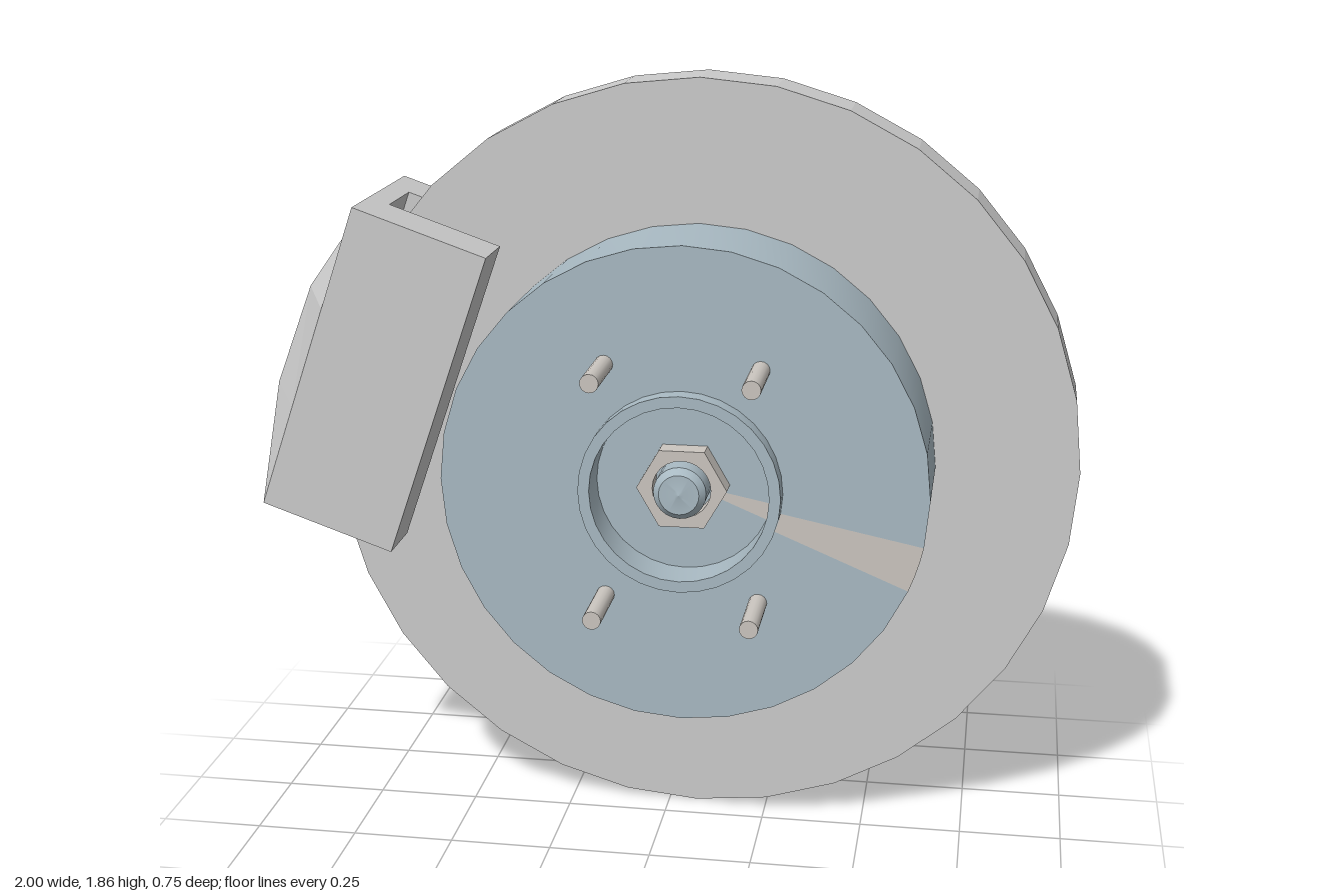
import * as THREE from 'three';
import { toCreasedNormals } from 'three/addons/utils/BufferGeometryUtils.js';

const CX = 0.07, CY = 0.932;

const material = (color, flatShading = false) => new THREE.MeshStandardMaterial({ color, flatShading });

function addPart(group, name, geometry, mat) {
  const mesh = new THREE.Mesh(geometry, mat);
  mesh.name = name;
  group.add(mesh);
  return mesh;
}

// Turned part: profile of [radius, z] pairs around the wheel axis
function turned(profile, segments) {
  const points = profile.map(([r, z]) => new THREE.Vector2(r, z));
  const geometry = new THREE.LatheGeometry(points, segments).rotateX(Math.PI / 2);
  return toCreasedNormals(geometry, 0.6);
}

// Rounded outer face of the caliper: flat edges front and back, arched in the middle
function caliperBackGeometry(top, bottom) {
  const arch = [[top.x, top.y], [-0.905, 1.33], [-1, 1.08], [bottom.x, bottom.y]];
  const zs = [-0.373, -0.21, -0.075, 0.087];
  const rows = arch.map(([x, y], i) => zs.map((z, j) => {
    const edge = j === 0 || j === 3;
    const p = edge ? top.clone().lerp(bottom, i / 3) : new THREE.Vector3(x, y, 0);
    return p.setZ(z);
  }));
  const corners = [];
  for (let i = 0; i < 3; i++) {
    for (let j = 0; j < 3; j++) {
      const a = rows[i][j], b = rows[i + 1][j], c = rows[i + 1][j + 1], d = rows[i][j + 1];
      corners.push(a, b, c, a, c, d);
    }
  }
  const geometry = new THREE.BufferGeometry().setFromPoints(corners);
  geometry.computeVertexNormals();
  return geometry;
}

export function createModel() {
  const model = new THREE.Group();
  model.name = 'brakeAssembly';
  const grey = material(0xcccccc, true);
  const blue = material(0xa9bac3);
  const steel = material(0xcbc6c0);

  // Everything centred on the axle
  const wheel = new THREE.Group();
  wheel.name = 'rotorAndHub';
  wheel.position.set(CX, CY, 0);
  model.add(wheel);

  // Faceted brake disc
  const disc = new THREE.CylinderGeometry(0.93, 0.93, 0.155, 32).rotateX(Math.PI / 2);
  addPart(wheel, 'brakeDisc', disc, grey).position.z = -0.1575;

  // Hub drum with raised centre ring and recess
  addPart(wheel, 'hub', turned([
    [0, -0.08], [0.583, -0.08], [0.583, 0.195], [0.24, 0.195],
    [0.24, 0.243], [0.213, 0.243], [0.213, 0.14], [0, 0.14],
  ], 32), blue);

  // Pale sector on the hub face and the recess floor
  const step = Math.PI / 16;
  for (const [inner, outer, z] of [[0.24, 0.583, 0.196], [0.08, 0.213, 0.141]]) {
    const sector = new THREE.RingGeometry(inner, outer, 1, 1, -2 * step, step);
    addPart(wheel, 'hubSector', sector, steel).position.z = z;
  }

  // Axle end with chamfered tip
  addPart(wheel, 'axle', turned([
    [0.063, 0.13], [0.063, 0.222], [0.048, 0.238], [0.012, 0.238], [0, 0.243],
  ], 24), blue);

  // Hexagonal axle nut
  const hexagon = new THREE.Shape();
  for (let i = 0; i < 6; i++) {
    const a = i * Math.PI / 3;
    hexagon[i ? 'lineTo' : 'moveTo'](0.108 * Math.cos(a), 0.108 * Math.sin(a));
  }
  hexagon.closePath();
  hexagon.holes.push(new THREE.Path().absarc(0, 0, 0.07, 0, Math.PI * 2, true));
  const nut = new THREE.ExtrudeGeometry(hexagon, { depth: 0.055, bevelEnabled: false, curveSegments: 12 });
  addPart(wheel, 'axleNut', nut, steel).position.z = 0.139;

  // Four wheel studs
  const studGeometry = new THREE.CylinderGeometry(0.022, 0.022, 0.2, 16).rotateX(Math.PI / 2);
  for (const x of [-0.184, 0.184]) {
    for (const y of [-0.273, 0.297]) {
      addPart(wheel, 'wheelStud', studGeometry, steel).position.set(x, y, 0.273);
    }
  }

  // Caliper: C-shaped section swept along its tilted length
  const caliper = new THREE.Group();
  caliper.name = 'caliper';
  model.add(caliper);
  const top = new THREE.Vector3(-0.74, 1.56, 0);
  const bottom = new THREE.Vector3(-1, 0.81, 0);
  const section = new THREE.Shape([
    [0, -0.373], [0.343, -0.373], [0.343, -0.235], [0.053, -0.235],
    [0.053, -0.06], [0.343, -0.06], [0.343, 0.087], [0, 0.087],
  ].map(([u, z]) => new THREE.Vector2(u, z)));
  const along = bottom.clone().sub(top);
  const body = new THREE.ExtrudeGeometry(section, { depth: along.length(), bevelEnabled: false });
  const w = along.normalize();
  const v = new THREE.Vector3(0, 0, 1);
  const u = v.clone().cross(w);
  body.applyMatrix4(new THREE.Matrix4().makeBasis(u, v, w).setPosition(top));
  addPart(caliper, 'caliperBody', body, grey);
  addPart(caliper, 'caliperOuterFace', caliperBackGeometry(top, bottom), grey);

  return model;
}
